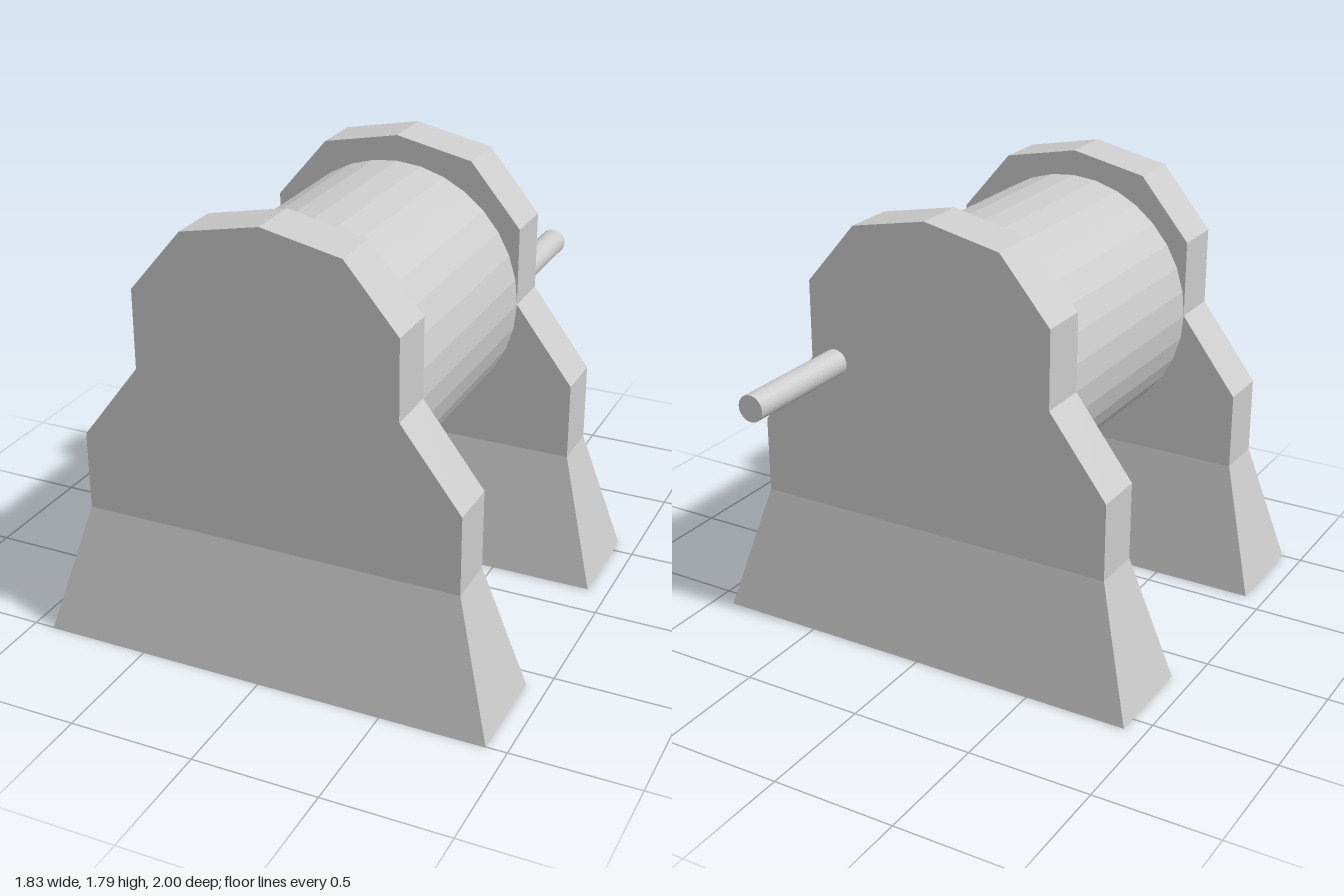
import * as THREE from 'three';

const BASE_H = 0.53, PLATE_T = 0.21, AXLE_Y = 1.16;

function mesh(name, geometry, flatShading = true) {
  const m = new THREE.Mesh(geometry, new THREE.MeshStandardMaterial({ color: 0xcccccc, flatShading }));
  m.name = name;
  return m;
}

// Stepped upright with a many-sided crown, mirrored about x = 0
function plateGeometry() {
  const half = [[0.765, BASE_H], [0.765, 0.845], [0.525, 1.16], [0.525, 1.475], [0.315, 1.725]];
  const mirrored = half.map(([x, y]) => [-x, y]).reverse();
  const outline = [...half, [0, 1.79], ...mirrored].map(([x, y]) => new THREE.Vector2(x, y));
  const g = new THREE.ExtrudeGeometry(new THREE.Shape(outline), { depth: PLATE_T, bevelEnabled: false });
  return g.translate(0, 0, -PLATE_T / 2);
}

// Foot that flares from the plate's section to a wider rectangle on the ground
function footGeometry() {
  const g = new THREE.BoxGeometry(2, BASE_H, 2).translate(0, BASE_H / 2, 0);
  const p = g.attributes.position;
  for (let i = 0; i < p.count; i++) {
    const top = p.getY(i) > BASE_H / 2;
    p.setX(i, p.getX(i) * (top ? 0.765 : 0.917));
    p.setZ(i, p.getZ(i) * (top ? PLATE_T / 2 : 0.21));
  }
  g.computeVertexNormals();
  return g;
}

// Round bar along z between two z positions
function barGeometry(radius, z0, z1, sides, open) {
  return new THREE.CylinderGeometry(radius, radius, z1 - z0, sides, 1, open)
    .rotateX(Math.PI / 2)
    .translate(0, 0, (z0 + z1) / 2);
}

export function createModel() {
  const model = new THREE.Group();
  model.name = 'drumStand';

  // Two matching supports
  for (const [name, z] of [['frontSupport', 0.79], ['backSupport', -0.365]]) {
    const support = new THREE.Group();
    support.name = name;
    support.add(mesh('plate', plateGeometry()), mesh('foot', footGeometry()));
    support.position.z = z;
    model.add(support);
  }

  // Faceted drum between the supports
  const drum = mesh('drum', barGeometry(0.525, -0.26, 0.685, 32, true));
  drum.position.y = AXLE_Y;

  // Handle sticking out of the back support, off centre
  const handle = mesh('handle', barGeometry(0.053, -1, -0.47, 32, false), true);
  handle.position.set(0.417, AXLE_Y, 0);

  model.add(drum, handle);
  return model;
}
